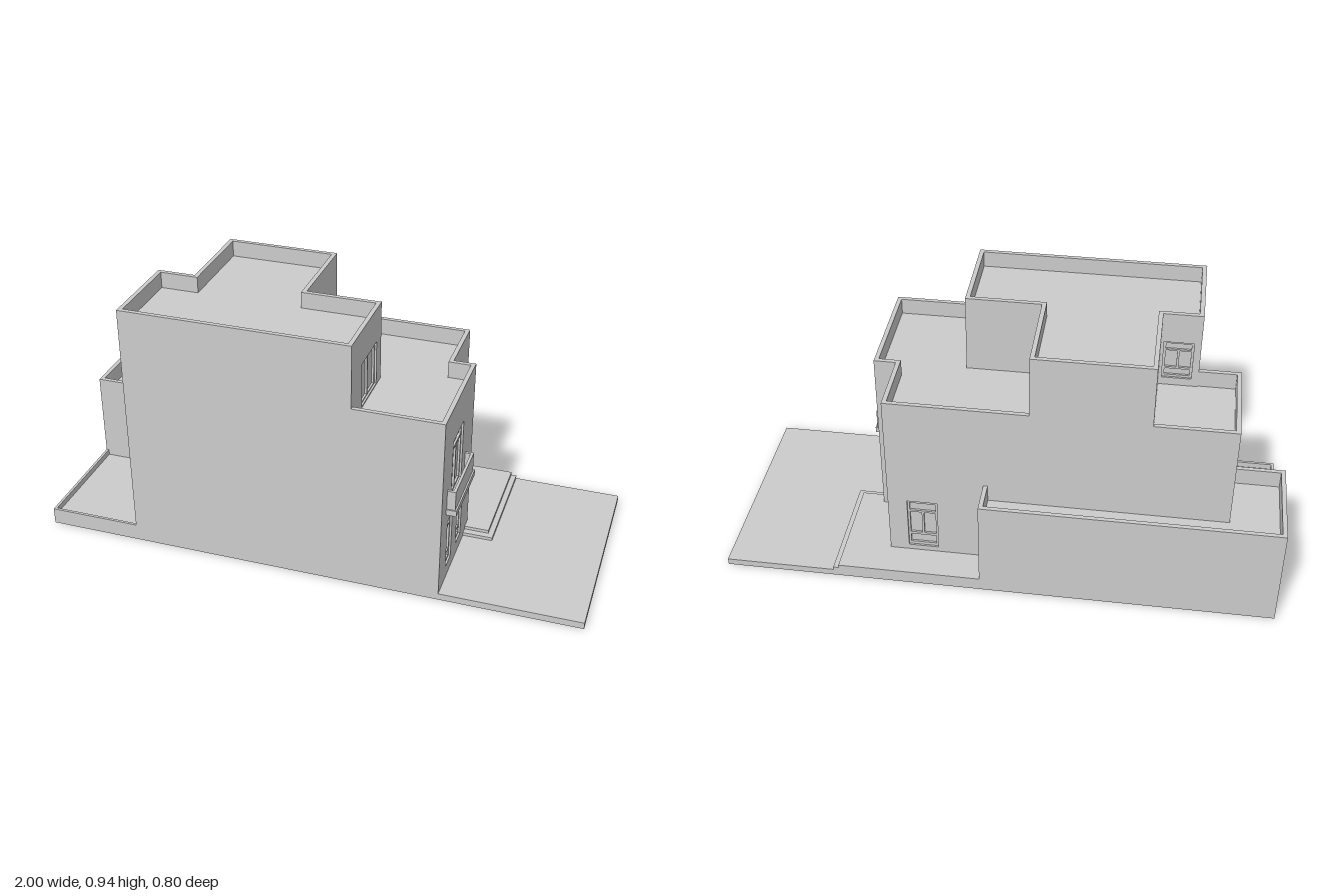
import * as THREE from 'three';

const material = new THREE.MeshStandardMaterial({ color: 0xcccccc, side: THREE.DoubleSide, flatShading: true });
const RIM = 0.016;

// Outlines are [x, z] corners; the outside lies to the right of the travel direction.
const GROUND = [[-0.66, 0.4], [0.49, 0.4], [0.49, -0.03], [0.41, -0.03], [0.41, -0.275],
  [0.06, -0.275], [0.06, -0.4], [-1, -0.4], [-1, -0.04], [-0.66, -0.04]];
const MIDDLE = [[-0.66, 0.4], [0.49, 0.4], [0.49, -0.03], [0.41, -0.03], [0.41, -0.275],
  [-0.81, -0.275], [-0.81, 0.08], [-0.66, 0.08]];
const TOP = [[-0.66, 0.4], [0.17, 0.4], [0.17, 0.06], [-0.1, 0.06], [-0.1, -0.275],
  [-0.52, -0.275], [-0.52, 0.06], [-0.66, 0.06]];

// Window layouts: rows of [bottom, top, columns] as fractions of the opening height
const DOOR = [];
const TALL = [[0.04, 0.17, 1], [0.2, 0.76, 1], [0.8, 0.95, 1]];
const BALCONY = [[0.03, 0.77, 2], [0.81, 0.95, 1]];
const CROSS = [[0.06, 0.23, 1], [0.28, 0.74, 2], [0.78, 0.94, 1]];
const PAIR = [[0.03, 0.95, 2]];

function add(group, name, geometry, x = 0, y = 0, z = 0) {
  const mesh = new THREE.Mesh(geometry, material);
  mesh.name = name;
  mesh.position.set(x, y, z);
  group.add(mesh);
  return mesh;
}

function box(group, name, x0, x1, y0, y1, z0, z1) {
  return add(group, name, new THREE.BoxGeometry(x1 - x0, y1 - y0, z1 - z0),
    (x0 + x1) / 2, (y0 + y1) / 2, (z0 + z1) / 2);
}

const planShape = (pts) => new THREE.Shape(pts.map(([x, z]) => new THREE.Vector2(x, -z)));

function slab(group, name, shape, y0, y1) {
  const g = new THREE.ExtrudeGeometry(shape, { depth: y1 - y0, bevelEnabled: false });
  return add(group, name, g.rotateX(-Math.PI / 2), 0, y0, 0);
}

function sheet(group, name, pts, y) {
  return add(group, name, new THREE.ShapeGeometry(planShape(pts)).rotateX(-Math.PI / 2), 0, y, 0);
}

// Offsets a right-angled outline inwards
function inset(pts, t) {
  const n = pts.length;
  const inward = (a, b) => {
    const l = Math.hypot(b[0] - a[0], b[1] - a[1]);
    return [(b[1] - a[1]) / l, -(b[0] - a[0]) / l];
  };
  return pts.map((p, i) => {
    const m = inward(pts[(i + n - 1) % n], p), k = inward(p, pts[(i + 1) % n]);
    return [p[0] + t * (m[0] + k[0]), p[1] + t * (m[1] + k[1])];
  });
}

function rect(x0, y0, x1, y1, Type = THREE.Shape) {
  return new Type([[x0, y0], [x1, y0], [x1, y1], [x0, y1]].map((p) => new THREE.Vector2(...p)));
}

// Recessed joinery in wall space, with z pointing outwards
function joinery(wall, u0, u1, y0, y1, rows) {
  const unit = new THREE.Group();
  unit.name = rows.length ? 'window' : 'door';
  const border = 0.008, h = y1 - y0;
  const frame = rect(u0, y0, u1, y1);
  for (const [a, b, cols] of rows) {
    const step = (u1 - u0 - border) / cols;
    for (let c = 0; c < cols; c++) {
      const s = u0 + border + c * step;
      frame.holes.push(rect(s, y0 + a * h, s + step - border, y0 + b * h, THREE.Path));
    }
  }
  add(unit, 'frame', new THREE.ExtrudeGeometry(frame, { depth: 0.008, bevelEnabled: false }), 0, 0, -0.015);
  if (rows.length) add(unit, 'glass', new THREE.ShapeGeometry(rect(u0, y0, u1, y1)), 0, 0, -0.0145);
  for (const u of [u0, u1])
    add(unit, 'reveal', new THREE.PlaneGeometry(0.01, h).rotateY(Math.PI / 2), u, (y0 + y1) / 2, -0.005);
  for (const y of [y0, y1])
    add(unit, 'reveal', new THREE.PlaneGeometry(u1 - u0, 0.01).rotateX(-Math.PI / 2), (u0 + u1) / 2, y, -0.005);
  wall.add(unit);
}

// One wall per outline edge; openings are [edge, from, to, bottom, top, layout]
function storey(group, name, pts, y0, y1, openings) {
  const floor = new THREE.Group();
  floor.name = name;
  pts.forEach((a, i) => {
    const b = pts[(i + 1) % pts.length];
    const dx = b[0] - a[0], dz = b[1] - a[1];
    const wall = new THREE.Group();
    wall.name = 'wall';
    wall.position.set(a[0], 0, a[1]);
    wall.rotation.y = Math.atan2(-dz, dx);
    const face = rect(0, y0, Math.hypot(dx, dz), y1);
    const start = Math.abs(dx) > Math.abs(dz) ? a[0] : a[1];
    for (const [edge, from, to, low, high, rows] of openings) {
      if (edge !== i) continue;
      const [u0, u1] = [Math.abs(from - start), Math.abs(to - start)].sort((p, q) => p - q);
      face.holes.push(rect(u0, low, u1, high, THREE.Path));
      joinery(wall, u0, u1, low, high, rows);
    }
    add(wall, 'wallFace', new THREE.ShapeGeometry(face));
    floor.add(wall);
  });
  group.add(floor);
}

// Flat roof sunk behind a parapet
function roof(group, name, pts, y0, y1) {
  const inner = inset(pts, RIM);
  const ring = planShape(pts);
  ring.holes.push(new THREE.Path(inner.map(([x, z]) => new THREE.Vector2(x, -z))));
  slab(group, name + 'Parapet', ring, y0, y1);
  sheet(group, name + 'Roof', inner, y0);
}

export function createModel() {
  const model = new THREE.Group();
  model.name = 'house';

  // Storeys, open underneath
  storey(model, 'groundFloor', GROUND, 0, 0.315, [
    [1, 0.305, 0.235, 0.073, 0.267, TALL], [1, 0.16, 0.09, 0.073, 0.267, TALL],
    [3, -0.147, -0.22, 0.05, 0.224, DOOR], [4, 0.34, 0.23, 0.07, 0.28, CROSS],
    [5, -0.29, -0.363, 0.05, 0.224, DOOR], [8, -0.885, -0.76, 0.05, 0.224, DOOR],
    [9, 0, 0.3, 0.05, 0.24, PAIR]]);
  storey(model, 'middleFloor', MIDDLE, 0.315, 0.712, [
    [1, 0.27, 0.125, 0.34, 0.57, BALCONY], [3, -0.103, -0.222, 0.377, 0.57, CROSS],
    [7, 0.13, 0.32, 0.38, 0.57, CROSS]]);
  storey(model, 'topFloor', TOP, 0.65, 0.945, [
    [1, 0.282, 0.113, 0.655, 0.818, PAIR], [6, -0.53, -0.635, 0.68, 0.83, CROSS]]);
  roof(model, 'middle', MIDDLE, 0.65, 0.712);
  roof(model, 'top', TOP, 0.885, 0.945);

  // Low wing roof, parapets and the soffit below the overhang
  sheet(model, 'lowRoof', [[-1, -0.04], [-0.81, -0.04], [-0.81, -0.275], [0.06, -0.275],
    [0.06, -0.4], [-1, -0.4]], 0.32);
  box(model, 'lowParapetBack', -1, 0.06, 0.315, 0.385, -0.4, -0.4 + RIM);
  box(model, 'lowParapetFront', -1, -0.81, 0.315, 0.385, -0.04 - RIM, -0.04);
  box(model, 'lowParapetSide', -1, -1 + RIM, 0.315, 0.385, -0.4 + RIM, -0.04 - RIM);
  box(model, 'lowParapetEnd', 0.06 - RIM, 0.06, 0.315, 0.385, -0.4 + RIM, -0.275);
  sheet(model, 'soffit', [[-0.81, 0.08], [-0.66, 0.08], [-0.66, -0.04], [-0.81, -0.04]], 0.315);

  // Balcony
  const balcony = new THREE.Group();
  balcony.name = 'balcony';
  box(balcony, 'balconySlab', 0.49, 0.526, 0.315, 0.337, 0.062, 0.335);
  box(balcony, 'balconyFront', 0.51, 0.52, 0.337, 0.41, 0.067, 0.33);
  for (const z of [0.067, 0.32]) box(balcony, 'balconySide', 0.49, 0.51, 0.337, 0.41, z, z + 0.01);
  model.add(balcony);

  // Street yard with stepped terrace running along the side passage
  const paving = (x, z) => planShape([[0.06, -0.275], [0.41, -0.275], [0.41, -0.03], [0.49, -0.03],
    [0.49, z], [x, z], [x, -0.4], [0.06, -0.4]]);
  slab(model, 'streetYard', paving(1, 0.4), 0, 0.025);
  slab(model, 'lowerStep', paving(0.6, 0.037), 0.025, 0.037);
  slab(model, 'upperStep', paving(0.58, 0.012), 0.037, 0.049);

  // Rear yard with low curb
  sheet(model, 'rearYard', [[-1, 0.4], [-0.66, 0.4], [-0.66, -0.04], [-1, -0.04]], 0.04);
  box(model, 'rearCurb', -1, -0.99, 0, 0.062, -0.04, 0.4);
  box(model, 'sideCurb', -0.99, -0.66, 0, 0.062, 0.39, 0.4);

  return model;
}
